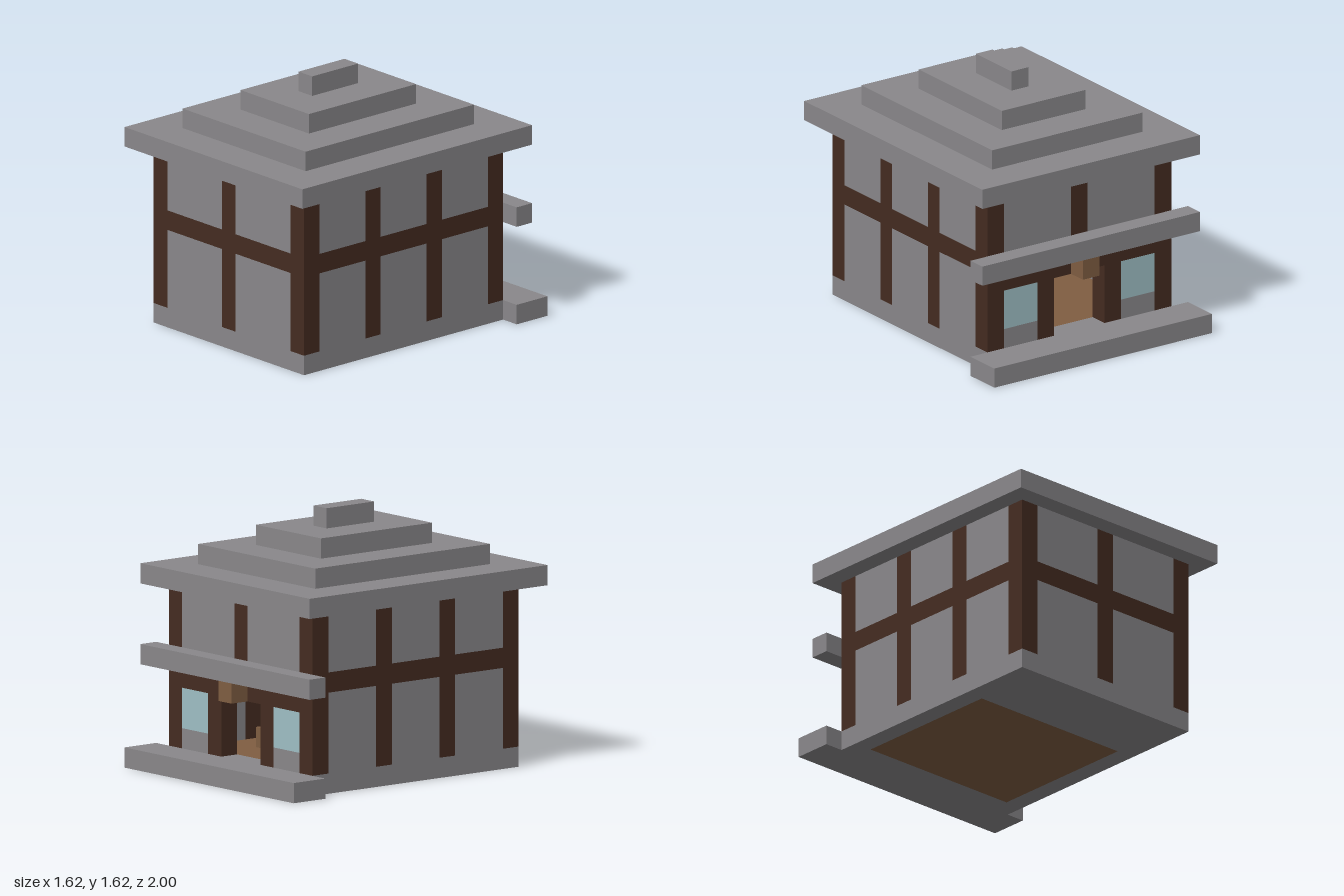
import * as THREE from 'three';

const U = 0.125; // one block of the building grid

const material = (name, hex) => {
  const m = new THREE.MeshStandardMaterial({ color: hex });
  m.name = name;
  return m;
};

export function createModel() {
  const stone = material('grey stone', 0x8a888b);
  const timber = material('dark timber', 0x452c21);
  const plank = material('light planks', 0x805e42);
  const glass = material('pale glass', 0xa0c0c6);

  const model = new THREE.Group();
  model.name = 'timberFramedHouse';

  // Box between grid limits [from, to] on each axis
  const box = (name, mat, [x0, x1], [y0, y1], [z0, z1]) => {
    const geo = new THREE.BoxGeometry((x1 - x0) * U, (y1 - y0) * U, (z1 - z0) * U);
    const mesh = new THREE.Mesh(geo, mat);
    mesh.name = name;
    mesh.position.set((x0 + x1) / 2, (y0 + y1) / 2, (z0 + z1) / 2).multiplyScalar(U);
    model.add(mesh);
  };
  // Same box on both sides of x = 0
  const pair = (name, mat, [x0, x1], y, z) => {
    box(name + 'Left', mat, [x0, x1], y, z);
    box(name + 'Right', mat, [-x1, -x0], y, z);
  };

  const lower = [1, 5], beam = [5, 6], upper = [6, 9], full = [1, 9];
  const front = [6, 7], back = [-6, -5], side = [4.5, 5.5];

  // Foundation around a plank floor, with a wide doorstep at the back
  pair('foundationSide', stone, side, [0, 1], [-6, 7]);
  box('foundationFront', stone, [-4.5, 4.5], [0, 1], [3, 7]);
  box('foundationBack', stone, [-4.5, 4.5], [0, 1], back);
  box('floor', plank, [-4.5, 4.5], [0, 1], [-5, 3]);
  box('doorstep', stone, [-6.5, 6.5], [0, 1], [-8, -6]);

  // Corner posts and middle posts
  for (const z of [front, back]) pair('cornerPost', timber, side, full, z);
  for (const z of [-2, 2]) pair('sidePost', timber, side, full, [z, z + 1]);
  box('frontPost', timber, [-0.5, 0.5], full, front);
  box('backUpperPost', timber, [-0.5, 0.5], upper, back);

  // Side walls: stone infill above and below a timber beam
  for (const z of [[-5, -2], [-1, 2], [3, 6]]) {
    pair('sideLowerPanel', stone, side, lower, z);
    pair('sideBeam', timber, side, beam, z);
    pair('sideUpperPanel', stone, side, upper, z);
  }

  // Front wall and upper back wall
  pair('frontLowerPanel', stone, [0.5, 4.5], lower, front);
  pair('frontBeam', timber, [0.5, 4.5], beam, front);
  pair('frontUpperPanel', stone, [0.5, 4.5], upper, front);
  pair('backUpperPanel', stone, [0.5, 4.5], upper, back);

  // Back entrance wall: doorway between posts, a window on each side
  box('lintel', timber, [-4.5, 4.5], [4, 6], back);
  pair('doorPost', timber, [1.5, 2.5], [1, 4], back);
  pair('windowSill', stone, [2.5, 4.5], [1, 2], back);
  pair('window', glass, [2.5, 4.5], [2, 4], back);
  box('awning', stone, [-6.5, 6.5], beam, [-7, -6]);
  box('hangingBlock', plank, [-0.5, 0.5], [4, 5], [-7, -6]);

  // Interior
  box('ceiling', stone, [-4.5, 4.5], beam, [-5, 6]);
  box('stool', plank, [1.5, 2.5], [1, 2], [-3, -2]);

  // Stepped roof, each tier two blocks smaller on every side
  for (let i = 0; i < 4; i++) {
    const w = 6.5 - 2 * i;
    box('roofTier' + (i + 1), stone, [-w, w], [9 + i, 10 + i], [-7 + 2 * i, 8 - 2 * i]);
  }

  return model;
}
